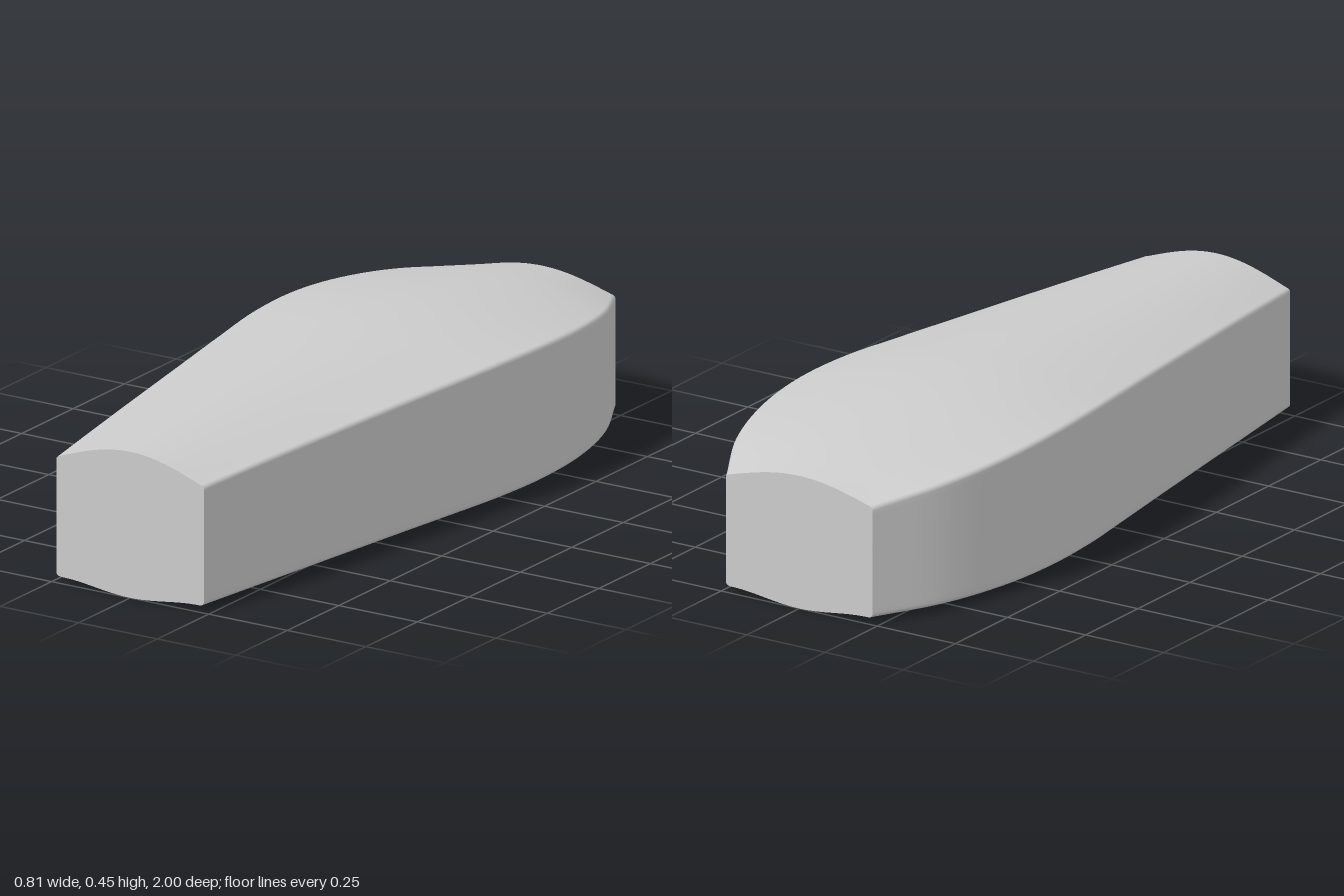
import * as THREE from 'three';

const RADIUS = 0.013; // soft rounding of the long edges
const STATIONS = 72;
const ACROSS = 32;

// Half width, crown height and z along the body, back to front
const spine = new THREE.CatmullRomCurve3([
  [0.235, 0.375, -1], [0.335, 0.407, -0.8], [0.388, 0.43, -0.6], [0.406, 0.445, -0.4],
  [0.397, 0.45, -0.2], [0.371, 0.447, 0], [0.343, 0.441, 0.2], [0.316, 0.434, 0.4],
  [0.289, 0.427, 0.6], [0.262, 0.419, 0.8], [0.235, 0.41, 1],
].map(p => new THREE.Vector3(...p)));

// Closed cross-section, counter-clockwise seen from the front
function section({ x: halfWidth, y: crown, z }) {
  const drop = 0.052 - 0.012 * Math.max(0, -z);
  const inner = halfWidth - RADIUS;
  const edge = crown - drop;
  const base = 0.019;
  const points = [];
  const corner = (cx, cy, start) => {
    for (let k = 1; k <= 4; k++) {
      const a = start + (k / 4) * Math.PI / 2;
      points.push(new THREE.Vector2(cx + RADIUS * Math.cos(a), cy + RADIUS * Math.sin(a)));
    }
  };
  const side = (x, from, to) => {
    for (const t of [0.04, 0.5, 0.96]) points.push(new THREE.Vector2(x, from + (to - from) * t));
  };
  // gently keeled underside
  for (let i = 0; i <= ACROSS; i++) {
    const s = -1 + 2 * i / ACROSS;
    points.push(new THREE.Vector2(s * inner, base * (1 - Math.cos(Math.PI * s)) / 2));
  }
  corner(inner, base + RADIUS, -Math.PI / 2);
  side(halfWidth, base + RADIUS, edge - RADIUS);
  points.push(new THREE.Vector2(halfWidth, edge - RADIUS));
  corner(inner, edge - RADIUS, 0);
  // crowned top
  for (let i = 1; i <= ACROSS; i++) {
    const s = 1 - 2 * i / ACROSS;
    points.push(new THREE.Vector2(s * inner, edge + drop * Math.cos(s * Math.PI / 2)));
  }
  corner(-inner, edge - RADIUS, Math.PI / 2);
  side(-halfWidth, edge - RADIUS, base + RADIUS);
  points.push(new THREE.Vector2(-halfWidth, base + RADIUS));
  corner(-inner, base + RADIUS, Math.PI);
  points.pop(); // the last point would repeat the first
  return points;
}

// Smooth skin through all the cross-sections
function loft() {
  const positions = [], index = [];
  let n = 0;
  for (let i = 0; i <= STATIONS; i++) {
    const station = spine.getPoint(i / STATIONS);
    const ring = section(station);
    n = ring.length;
    for (const p of ring) positions.push(p.x, p.y, station.z);
  }
  for (let i = 0; i < STATIONS; i++) {
    for (let j = 0; j < n; j++) {
      const a = i * n + j, b = i * n + (j + 1) % n;
      index.push(a, b, a + n, b, b + n, a + n);
    }
  }
  const geometry = new THREE.BufferGeometry();
  geometry.setAttribute('position', new THREE.Float32BufferAttribute(positions, 3));
  geometry.setIndex(index);
  geometry.computeVertexNormals();
  return geometry;
}

export function createModel() {
  const group = new THREE.Group();
  group.name = 'taperedBlock';
  const material = new THREE.MeshStandardMaterial({ color: 0xcccccc });
  const add = (name, geometry) => {
    const mesh = new THREE.Mesh(geometry, material);
    mesh.name = name;
    group.add(mesh);
    return mesh;
  };

  add('body', loft());

  // Flat ends with crisp upright corners
  for (const [name, t, turn] of [['backEnd', 0, Math.PI], ['frontEnd', 1, 0]]) {
    const station = spine.getPoint(t);
    const end = add(name, new THREE.ShapeGeometry(new THREE.Shape(section(station))));
    end.rotation.y = turn;
    end.position.z = station.z;
  }
  return group;
}
